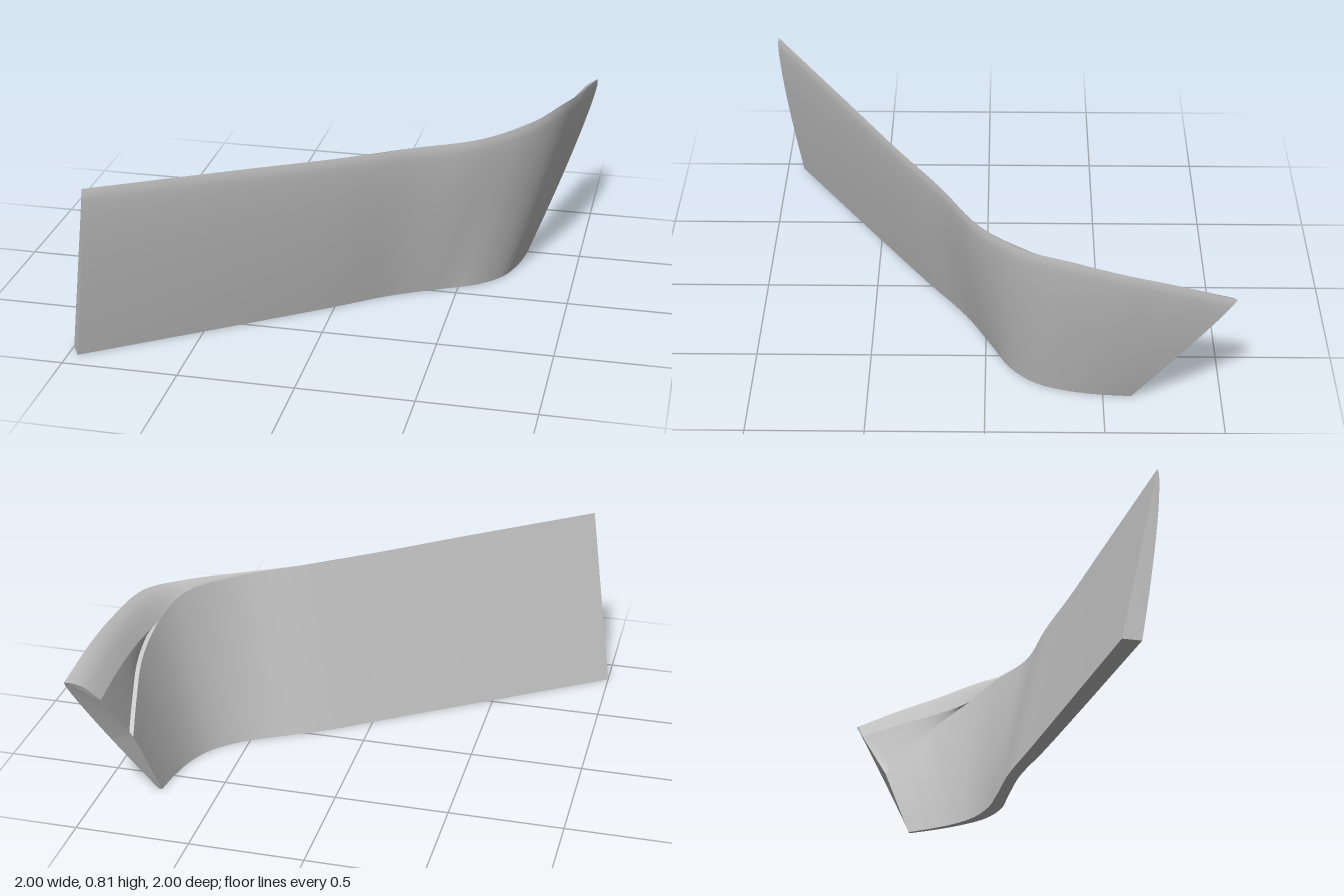
import * as THREE from 'three';

// Rails of the panel, from its far end to its wrapped end; each is a smooth curve
const rail = (pts) => new THREE.CatmullRomCurve3(pts.map((p) => new THREE.Vector3(...p)));

const straightTop = [[-0.87, 0.8, 0.99], [-0.3, 0.78, 0.61], [0.05, 0.765, 0.375], [0.32, 0.76, 0.19]];
const outerTop = rail([...straightTop, [0.6, 0.762, 0.025], [0.79, 0.785, -0.15],
  [0.9, 0.81, -0.33], [0.955, 0.785, -0.55], [0.98, 0.755, -0.75], [1, 0.7, -1]]);
const outerBottom = rail([[-0.96, 0, 0.92], [-0.36, 0, 0.505], [-0.025, 0, 0.27], [0.22, 0, 0.09],
  [0.43, 0, -0.025], [0.58, 0, -0.105], [0.68, 0, -0.21], [0.73, 0, -0.34], [0.755, 0, -0.48], [0.765, 0, -0.62]]);
const innerBottom = rail([[-1, 0, 0.85], [-0.4, 0, 0.445], [-0.06, 0, 0.215], [0.19, 0, 0.045],
  [0.4, 0, -0.07], [0.55, 0, -0.16], [0.65, 0, -0.26], [0.705, 0, -0.37], [0.735, 0, -0.5], [0.75, 0, -0.62]]);
const innerBend = [[0.595, 0.75, 0.015], [0.765, 0.745, -0.19], [0.825, 0.68, -0.34]];
const lipEdge = rail([...straightTop, ...innerBend,
  [0.86, 0.655, -0.5], [0.875, 0.63, -0.7], [0.88, 0.59, -0.92]]);
const innerTop = rail([...straightTop, ...innerBend,
  [0.845, 0.58, -0.52], [0.83, 0.46, -0.65], [0.81, 0.34, -0.765]]);

// Horizontal direction pointing out of the panel at station u
function outward(u) {
  const t = outerTop.getTangent(u);
  return new THREE.Vector3(-t.z, 0, t.x).normalize();
}

// Straight surface between two rails
const between = (a, b) => (u, v) => a.getPoint(u).lerp(b.getPoint(u), v);

// Outer skin bulges gently and rolls over at its top edge
const outerSkin = (u, v) => between(outerBottom, outerTop)(u, v)
  .addScaledVector(outward(u), 0.05 * v * Math.sqrt(1 - v));

// Rounded lip folded inwards over the wrapped end
function lip(u, v) {
  const a = outerTop.getPoint(u), b = lipEdge.getPoint(u);
  const rise = 0.12 * a.distanceTo(b) * Math.sin(Math.PI * v);
  const p = a.lerp(b, v);
  p.y += rise;
  return p;
}

// Recess between the inner skin and the lip
const recessTop = (u) => lipEdge.getPoint(u);
const recessBottom = (u) => innerTop.getPoint(u).addScaledVector(outward(u), u < 1 ? 0.02 : 0.015);

// Inner outline at one end, from bottom edge to lip
const innerOutline = (u, v) => (v < 0.5
  ? between(innerBottom, innerTop)(u, v * 2)
  : between(innerTop, lipEdge)(u, v * 2 - 1));

// Grid surface from a rule f(u, v)
function surface(f, nu, nv, u0 = 0, u1 = 1) {
  const pos = [], index = [];
  for (let i = 0; i <= nu; i++) {
    for (let j = 0; j <= nv; j++) {
      const p = f(u0 + (u1 - u0) * i / nu, j / nv);
      pos.push(p.x, p.y, p.z);
      if (i < nu && j < nv) {
        const a = i * (nv + 1) + j, b = a + nv + 1;
        index.push(a, b, b + 1, a, b + 1, a + 1);
      }
    }
  }
  const g = new THREE.BufferGeometry();
  g.setAttribute('position', new THREE.Float32BufferAttribute(pos, 3));
  g.setIndex(index);
  g.computeVertexNormals();
  return g;
}

export function createModel() {
  const group = new THREE.Group();
  group.name = 'cornerPanel';
  const grey = new THREE.MeshStandardMaterial({ color: 0xc0c0c0, side: THREE.DoubleSide });
  grey.name = 'panel grey';

  const add = (name, geometry) => {
    const mesh = new THREE.Mesh(geometry, grey);
    mesh.name = name;
    group.add(mesh);
  };

  // Main skins
  add('outerSkin', surface(outerSkin, 72, 32));
  add('innerSkin', surface(between(innerBottom, innerTop), 72, 8));
  add('bottomEdge', surface(between(outerBottom, innerBottom), 72, 1));

  // Folded lip and the recess under it
  add('topLip', surface(lip, 48, 8, 3 / 9, 1));
  add('recessPanel', surface((u, v) => recessBottom(u).lerp(recessTop(u), v), 24, 2, 6 / 9, 1));
  add('recessStep', surface((u, v) => innerTop.getPoint(u).lerp(recessBottom(u), v), 24, 1, 6 / 9, 1));

  // End caps
  for (const [name, u] of [['farEndCap', 0], ['wrappedEndCap', 1]]) {
    add(name, surface((s, v) => outerSkin(u, v).lerp(innerOutline(u, v), s), 1, 32));
  }
  return group;
}
